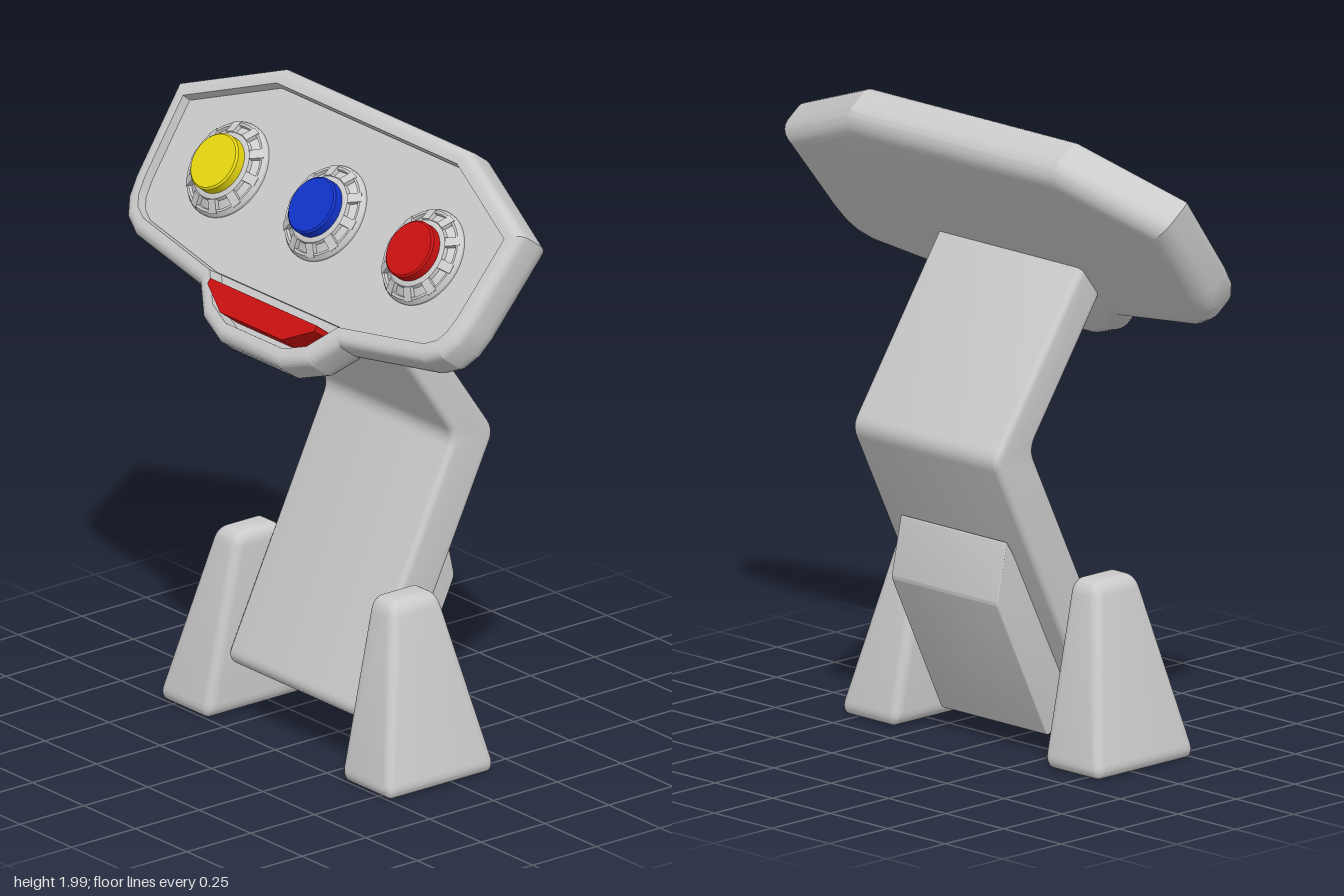
import * as THREE from 'three';
import { toCreasedNormals } from 'three/addons/utils/BufferGeometryUtils.js';
import { RoundedBoxGeometry } from 'three/addons/geometries/RoundedBoxGeometry.js';

const grey = new THREE.MeshStandardMaterial({ color: 0xcccccc });
const paint = (color) => new THREE.MeshStandardMaterial({ color });

function add(parent, name, geometry, material = grey) {
  const mesh = new THREE.Mesh(geometry, material);
  mesh.name = name;
  parent.add(mesh);
  return mesh;
}

// Closed shape whose corners are rounded by radius r
function roundedShape(pts, r) {
  const v = pts.map((p) => new THREE.Vector2(...p));
  const shape = new THREE.Shape();
  v.forEach((p, i) => {
    const toward = (q) => p.clone().add(q.clone().sub(p).setLength(r));
    const a = toward(v[(i + v.length - 1) % v.length]);
    const b = toward(v[(i + 1) % v.length]);
    if (i === 0) shape.moveTo(a.x, a.y);
    else shape.lineTo(a.x, a.y);
    shape.quadraticCurveTo(p.x, p.y, b.x, b.y);
  });
  shape.closePath();
  return shape;
}

// Side profile in (z, y), extruded across x with softened edges
function sideExtrude(pts, width, r, bevel) {
  const geo = new THREE.ExtrudeGeometry(roundedShape(pts, r), {
    depth: width - 2 * bevel, bevelThickness: bevel, bevelSize: bevel,
    bevelOffset: -bevel, bevelSegments: 4, curveSegments: 6,
  });
  geo.translate(0, 0, bevel - width / 2).rotateY(-Math.PI / 2);
  return toCreasedNormals(geo, 0.5);
}

// Move every edge of a counter-clockwise outline inward by d
function inset(pts, d) {
  const n = pts.length;
  const normal = (a, b) => new THREE.Vector2(a.y - b.y, b.x - a.x).normalize();
  return pts.map((p, i) => {
    const n1 = normal(pts[(i + n - 1) % n], p);
    const n2 = normal(p, pts[(i + 1) % n]);
    const m = n1.clone().add(n2);
    return p.clone().addScaledVector(m, d / (1 + n1.dot(n2)));
  });
}

// Skin an outline through [inset, z] layers from back to front and cap both ends
function skinLayers(outline, layers) {
  const n = outline.length, pos = [], index = [];
  layers.forEach(([d, z]) => inset(outline, d).forEach((p) => pos.push(p.x, p.y, z)));
  for (let i = 0; i < layers.length - 1; i++) {
    for (let j = 0; j < n; j++) {
      const a = i * n + j, b = i * n + (j + 1) % n;
      index.push(a, b, b + n, a, b + n, a + n);
    }
  }
  const last = (layers.length - 1) * n;
  for (const [a, b, c] of THREE.ShapeUtils.triangulateShape(inset(outline, layers[0][0]), [])) index.push(a, c, b);
  for (const [a, b, c] of THREE.ShapeUtils.triangulateShape(inset(outline, layers.at(-1)[0]), [])) {
    index.push(last + a, last + b, last + c);
  }
  const geo = new THREE.BufferGeometry();
  geo.setAttribute('position', new THREE.Float32BufferAttribute(pos, 3));
  geo.setIndex(index);
  return toCreasedNormals(geo, 0.4);
}

function createFoot() {
  const h = 0.58;
  const geo = new RoundedBoxGeometry(1, h, 1, 4, 0.045);
  const p = geo.attributes.position;
  for (let i = 0; i < p.count; i++) {
    const y = p.getY(i) + h / 2, t = y / h;
    // Inner side upright, the other three lean in
    const width = THREE.MathUtils.lerp(0.25, 0.115, t);
    const depth = THREE.MathUtils.lerp(0.43, 0.18, t);
    const soft = (u, w) => {
      // keep the corner rounding near its real size while narrowing the box
      const edge = 0.5 - Math.abs(u), r = 0.045;
      const out = edge < r ? w / 2 - edge * 0.7 : (w / 2 - r * 0.7) * Math.abs(u) / (0.5 - r);
      return Math.sign(u) * out;
    };
    p.setXYZ(i, 0.32 + width / 2 + soft(p.getX(i), width), y, 0.048 + soft(p.getZ(i), depth));
  }
  return toCreasedNormals(geo, 0.6);
}

function createButton(color) {
  const button = new THREE.Group();
  // Ring with a channel, axis along y
  const profile = [[0.157, -0.01], [0.157, 0.008], [0.148, 0.022], [0.14, 0.022], [0.136, 0.012],
    [0.113, 0.026], [0.11, 0.038], [0.1, 0.042], [0.085, 0.042]].map((q) => new THREE.Vector2(...q));
  const ring = new THREE.LatheGeometry(profile.reverse(), 48);
  const ringMat = grey.clone();
  ringMat.side = THREE.DoubleSide;
  add(button, 'buttonRing', toCreasedNormals(ring, 0.4), ringMat);
  // Lugs spaced around the channel
  for (let i = 0; i < 10; i++) {
    const lug = new THREE.BoxGeometry(0.03, 0.022, 0.045);
    lug.rotateX(0.5).translate(0, 0.021, 0.127).rotateY((i + 0.5) * Math.PI / 5);
    add(button, 'ringLug', lug);
  }
  const cap = new THREE.LatheGeometry([[0, 0.077], [0.088, 0.077], [0.094, 0.071], [0.094, 0]]
    .reverse().map((q) => new THREE.Vector2(...q)), 48);
  add(button, 'buttonCap', toCreasedNormals(cap, 0.4), paint(color));
  button.rotation.x = Math.PI / 2;
  return button;
}

function createHead() {
  const head = new THREE.Group();
  head.name = 'controlPanel';
  const half = [[0.45, 1.69], [0.838, 1.518], [0.815, 1.2], [0.8, 1.13], [0.765, 1.075],
    [0.7, 1.038], [0.34, 0.978], [0.26, 0.89], [0.15, 0.845]];
  const outline = [...half, ...half.map(([x, y]) => [-x, y]).reverse()]
    .reverse().map((q) => new THREE.Vector2(...q));

  // Rounded back, rounded rim, then the recess
  const layers = [];
  for (let i = 0; i <= 6; i++) {
    const a = i / 6 * Math.PI / 2;
    layers.push([0.065 * (1 - Math.sin(a)), 1.0 - 0.065 * Math.cos(a)]);
  }
  for (let i = 0; i <= 5; i++) {
    const a = i / 5 * Math.PI / 2;
    layers.push([0.035 * (1 - Math.cos(a)), 1.057 + 0.035 * Math.sin(a)]);
  }
  layers.push([0.055, 1.092], [0.06, 1.04]);
  add(head, 'panelShell', skinLayers(outline, layers));

  // Face plate covers the recess above the slot
  const facePts = inset(outline, 0.06).filter((p) => p.y > 1);
  add(head, 'facePlate', new THREE.ExtrudeGeometry(new THREE.Shape(facePts),
    { depth: 0.03, bevelEnabled: false }).translate(0, 0, 1.032));

  // Raised trapezoid in the lower slot
  const slot = new THREE.Shape([[-0.15, 0.92], [0.15, 0.92], [0.26, 0.985], [0.26, 1.004],
    [-0.26, 1.004], [-0.26, 0.985]].map((q) => new THREE.Vector2(...q)));
  add(head, 'slotPlate', new THREE.ExtrudeGeometry(slot,
    { depth: 0.09, bevelEnabled: false }).translate(0, 0, 1.033), paint(0xcc1111));

  // Three push buttons
  [['yellowButton', -0.475, 0xe8d810], ['blueButton', 0, 0x1133cc], ['redButton', 0.475, 0xcc1111]]
    .forEach(([name, x, color]) => {
      const button = createButton(color);
      button.name = name;
      button.position.set(x, 1.334, 1.062);
      head.add(button);
    });
  head.rotation.x = -Math.atan2(0.6, 0.8);
  return head;
}

export function createModel() {
  const model = new THREE.Group();
  model.name = 'controlStand';
  model.add(createHead());

  // Bent neck
  add(model, 'neck', sideExtrude([[0.195, 0.19], [-0.2, 1.01], [0.11, 1.465], [0.035, 1.575],
    [-0.36, 0.995], [0.065, 0.125]], 0.63, 0.04, 0.02));

  // Box on the back of the neck
  add(model, 'backBox', sideExtrude([[0.07, 0.12], [-0.17, 0.62], [-0.225, 0.71], [-0.267, 0.515],
    [-0.05, 0.06]], 0.46, 0.012, 0.004));

  // Tapered feet, one mirrored by a half turn about the foot's own depth centre
  const foot = createFoot();
  add(model, 'leftFoot', foot);
  const other = foot.clone().translate(0, 0, -0.048).rotateY(Math.PI).translate(0, 0, 0.048);
  add(model, 'rightFoot', other);
  return model;
}
